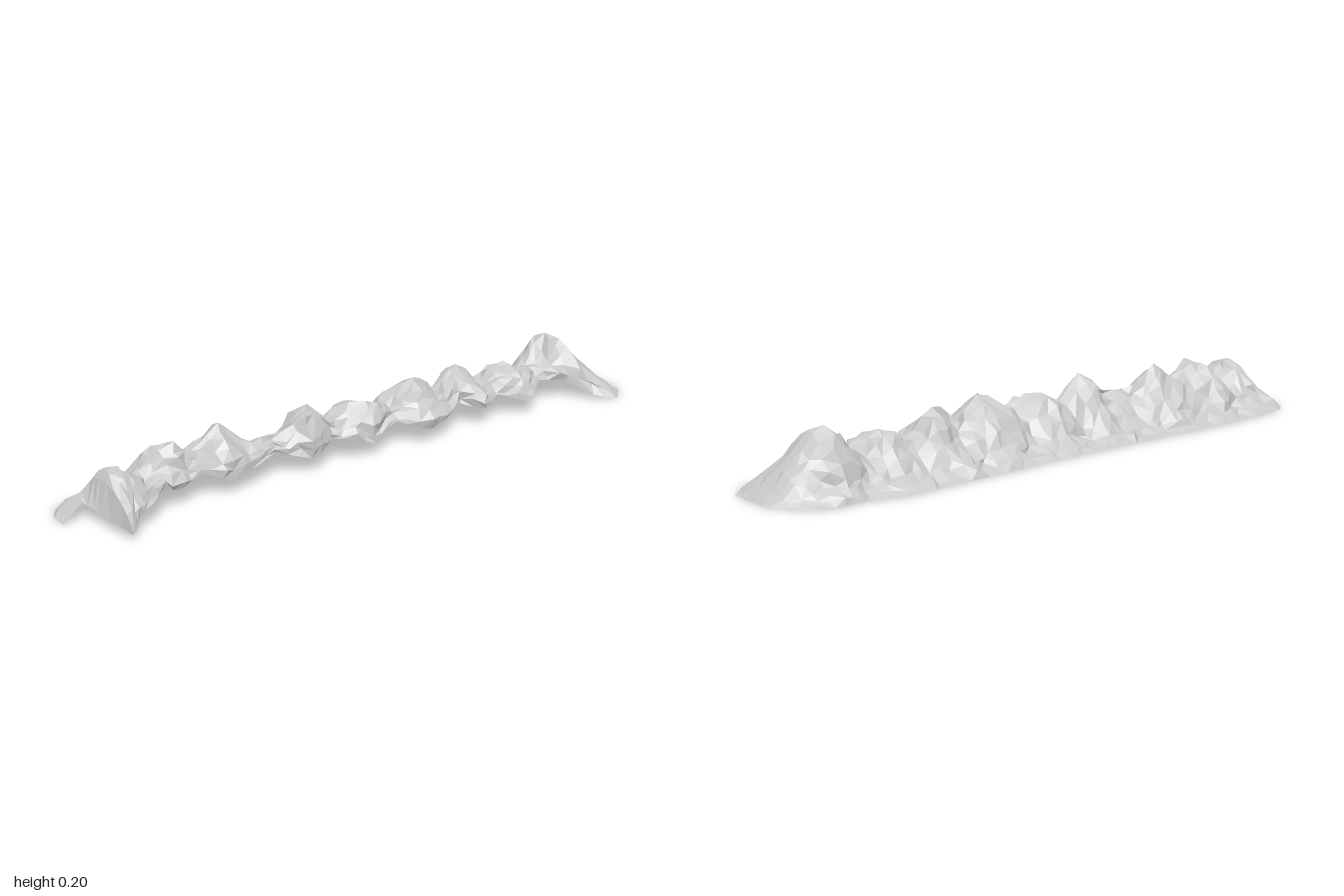
import * as THREE from 'three';

// Keys along the ridge as [z, value], back to front.
const crestY = [[-1, 0], [-0.96, 0.04], [-0.9, 0.115], [-0.87, 0.13], [-0.8, 0.2], [-0.745, 0.13], [-0.69, 0.1],
  [-0.585, 0.15], [-0.49, 0.105], [-0.4, 0.185], [-0.315, 0.115], [-0.2, 0.19], [-0.085, 0.115], [0.015, 0.17],
  [0.12, 0.1], [0.21, 0.2], [0.29, 0.115], [0.355, 0.125], [0.4, 0.11], [0.5, 0.19], [0.585, 0.13], [0.62, 0.135],
  [0.69, 0.187], [0.78, 0.095], [0.89, 0.165], [0.97, 0.13], [1, 0.05]];
const crestX = [[-1, 0.05], [-0.9, 0], [-0.8, -0.02], [-0.6, 0.01], [-0.4, 0], [-0.2, 0.02], [0, 0.01],
  [0.21, 0.02], [0.5, -0.02], [0.69, -0.03], [0.86, -0.02], [1, -0.02]];
const footX = [[-1, -0.09], [-0.95, -0.14], [-0.85, -0.155], [-0.75, -0.155], [-0.65, -0.19], [-0.4, -0.185],
  [-0.2, -0.18], [0, -0.18], [0.2, -0.18], [0.4, -0.19], [0.6, -0.2], [0.8, -0.195], [0.95, -0.18], [1, -0.14]];
const lipX = [[-1, 0.14], [-0.933, 0.2], [-0.86, 0.15], [-0.8, 0.09], [-0.69, 0.07], [-0.64, 0.125], [-0.58, 0.125],
  [-0.51, 0.08], [-0.44, 0.115], [-0.36, 0.06], [-0.29, 0.115], [-0.18, 0.12], [-0.09, 0.07], [0, 0.095],
  [0.08, 0.08], [0.13, 0.05], [0.22, 0.09], [0.33, 0.04], [0.42, 0.06], [0.53, 0.06], [0.61, 0.04],
  [0.66, 0.05], [0.73, 0.04], [0.8, 0.1], [0.88, 0.11], [0.965, 0.155], [1, 0.15]];
const lipY = [[-1, 0], [-0.92, 0], [-0.86, 0.02], [-0.8, 0.06], [-0.69, 0.085], [-0.6, 0.045], [-0.5, 0.085],
  [-0.42, 0.055], [-0.34, 0.09], [-0.2, 0.05], [-0.09, 0.09], [0, 0.045], [0.12, 0.085], [0.22, 0.045],
  [0.34, 0.085], [0.5, 0.045], [0.6, 0.09], [0.68, 0.055], [0.76, 0.08], [0.86, 0.05], [0.95, 0.02], [1, 0.02]];

// Cross-section as [fraction across, fraction of height]: ground foot to crest, then crest to raised lip.
const outer = [[0, 0], [0.11, 0.1], [0.24, 0.18], [0.36, 0.31], [0.49, 0.52], [0.64, 0.74], [0.8, 0.91], [1, 1]];
const inner = [[0.24, 0.97], [0.47, 0.87], [0.67, 0.68], [0.84, 0.44], [0.94, 0.2], [1, 0]];
const cols = outer.length + inner.length;

const { clamp, lerp, smoothstep } = THREE.MathUtils;

function sample(keys, z, boulder = false) {
  let i = 0;
  while (i < keys.length - 2 && z > keys[i + 1][0]) i++;
  const [z0, a] = keys[i], [z1, b] = keys[i + 1];
  let t = clamp((z - z0) / (z1 - z0), 0, 1);
  // rounded tops with sharp valleys between them
  const round = b > a ? Math.sin(t * Math.PI / 2) : 1 - Math.cos(t * Math.PI / 2);
  if (boulder) t = (t + round) / 2;
  return a + (b - a) * t;
}

// Repeatable jitter in -1..1
function rough(i, j, k) {
  const s = Math.sin(i * 127.1 + j * 311.7 + k * 74.7) * 43758.5453;
  return 2 * (s - Math.floor(s)) - 1;
}

// Front rim: a tongue lying on the ground, then a raised edge set back beside it
function frontRim(j) {
  if (j < 4) return [-0.145 + 0.028 * j, 0, j === 0 ? 0.985 : 1];
  const s = (j - 4) / (cols - 5);
  return [-0.057 + 0.212 * s, 0.055 - 0.035 * s, 0.94 - 0.04 * s];
}

function sectionPoint(i, j, rows) {
  const zRow = -1 + 2 * i / rows;
  const inside = i > 1 && i < rows - 1 ? 1 : 0;
  const onOuter = j < outer.length;
  const [u, v] = onOuter ? outer[j] : inner[j - outer.length];
  const edge = j === 0 || j === cols - 1;
  const amount = inside * (edge ? 0.3 : 1);
  // boulder seams wander a little across the section
  const zs = clamp(zRow + inside * 0.03 * Math.sin((j - outer.length + 1) * 0.7) * Math.cos(zRow * 9), -1, 1);
  const top = sample(crestY, zs, true), cx = sample(crestX, zRow);
  const low = onOuter ? 0 : Math.min(sample(lipY, zRow), top);
  const end = sample(onOuter ? footX : lipX, zRow);
  let x = onOuter ? lerp(end, cx, u) : lerp(cx, end, u);
  let y = lerp(low, top, v);
  // boulders swell sideways, valleys pinch in
  if (!edge) x += (x - cx) * inside * (onOuter ? (top - 0.17) * 1.5 : (top - 0.14) * 2.2);
  x += amount * 0.01 * rough(i, j, 1);
  if (j > 0) y += amount * 0.008 * rough(i, j, 2);
  // the front is set back beside its tongue, the back corner is cut off
  const t = j / (cols - 1);
  let z = zRow - 0.07 * smoothstep(zRow, 0.8, 1) * smoothstep(t, 0.15, 0.4);
  z += smoothstep(-zRow, 0.85, 1) * 0.05 * Math.max(0, 1 - t * 3);
  z += amount * 0.009 * rough(i, j, 3);
  return [clamp(x, -0.2, 0.2), clamp(y, 0, 0.2), clamp(z, -1, 1)];
}

function ridgeGeometry(rows) {
  const positions = [], index = [];
  for (let i = 0; i <= rows; i++) {
    for (let j = 0; j < cols; j++) {
      positions.push(...(i === rows ? frontRim(j) : sectionPoint(i, j, rows)));
    }
  }
  for (let i = 0; i < rows; i++) {
    for (let j = 0; j < cols - 1; j++) {
      const a = i * cols + j, b = a + cols, c = b + 1, d = a + 1;
      if (rough(i, j, 4) > 0) index.push(a, b, c, a, c, d);
      else index.push(a, b, d, b, c, d);
    }
  }
  const geometry = new THREE.BufferGeometry();
  geometry.setAttribute('position', new THREE.Float32BufferAttribute(positions, 3));
  geometry.setIndex(index);
  geometry.computeVertexNormals();
  return geometry;
}

export function createModel() {
  const group = new THREE.Group();
  group.name = 'rockRidge';
  // Open rock shell: one side meets the ground, the other ends in a raised lip
  const rock = new THREE.MeshStandardMaterial({ color: 0xcccccc, flatShading: true, side: THREE.DoubleSide });
  const shell = new THREE.Mesh(ridgeGeometry(60), rock);
  shell.name = 'rockShell';
  group.add(shell);
  return group;
}
